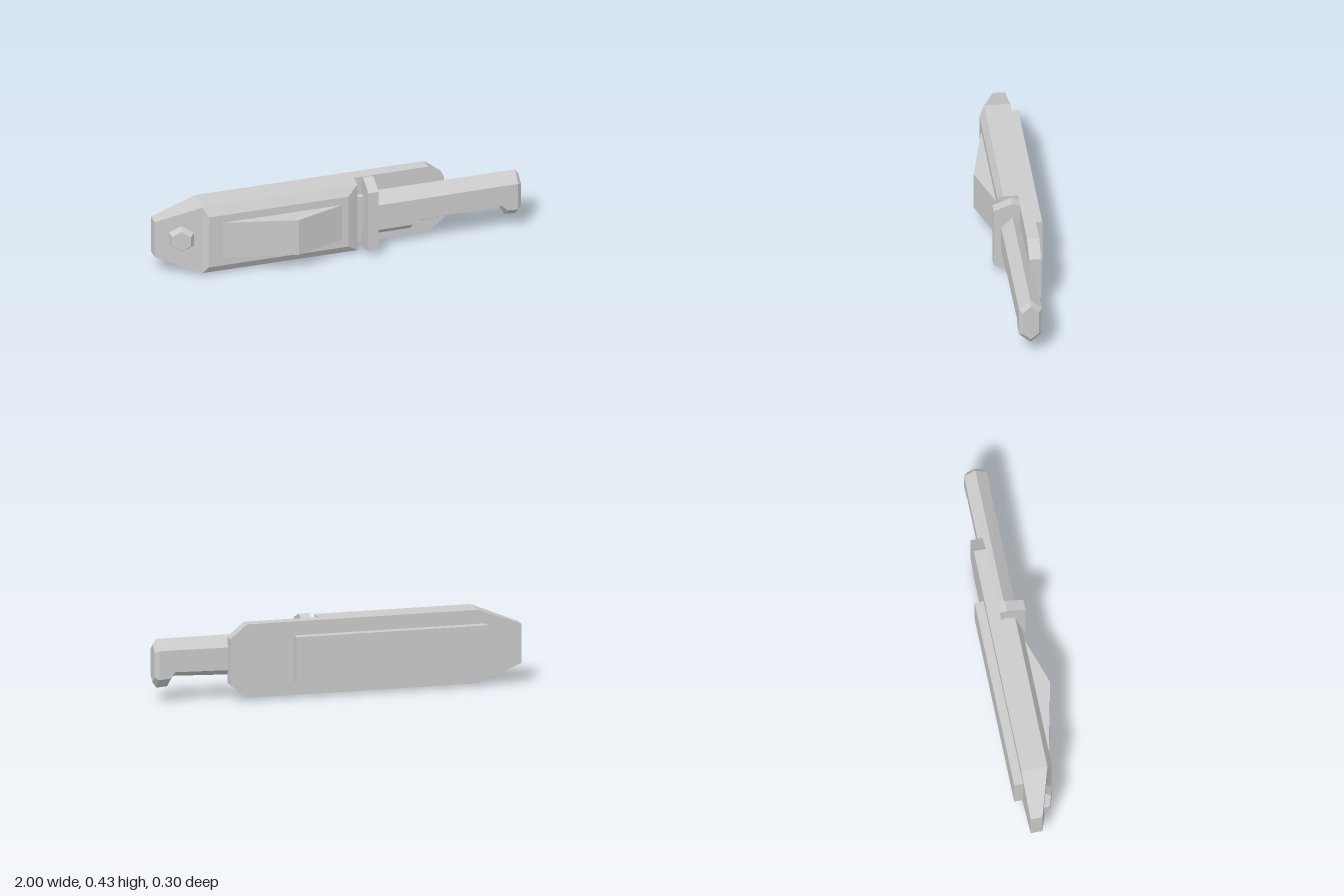
import * as THREE from 'three';

const material = new THREE.MeshStandardMaterial({ color: 0xcccccc, flatShading: true });

// Solid through convex rings, each counter-clockwise seen from the far end
function loft(rings) {
  const pos = [];
  const tri = (a, b, c) => pos.push(...a, ...b, ...c);
  const n = rings[0].length;
  for (let i = 0; i < rings.length - 1; i++) {
    for (let j = 0; j < n; j++) {
      const k = (j + 1) % n;
      const a = rings[i][j], b = rings[i][k], c = rings[i + 1][k], d = rings[i + 1][j];
      tri(a, b, c);
      tri(a, c, d);
    }
  }
  const first = rings[0], last = rings[rings.length - 1];
  for (let j = 1; j < n - 1; j++) {
    tri(first[0], first[j + 1], first[j]);
    tri(last[0], last[j], last[j + 1]);
  }
  const g = new THREE.BufferGeometry();
  g.setAttribute('position', new THREE.Float32BufferAttribute(pos, 3));
  g.computeVertexNormals();
  return g;
}

// Rectangular section at x
const rectX = (x, y0, y1, z0, z1) => [[x, y0, z0], [x, y1, z0], [x, y1, z1], [x, y0, z1]];
// Rectangular section at z
const rectZ = (z, x0, x1, y0, y1) => [[x0, y0, z], [x1, y0, z], [x1, y1, z], [x0, y1, z]];
// Pointed six-sided section at x
const hexX = (x, bottom, low, high, top, w) => [
  [x, bottom, 0], [x, low, -w], [x, high, -w], [x, top, 0], [x, high, w], [x, low, w],
];

export function createModel() {
  const group = new THREE.Group();
  const add = (name, geometry) => {
    const mesh = new THREE.Mesh(geometry, material);
    mesh.name = name;
    group.add(mesh);
    return mesh;
  };
  const box = (name, x0, x1, y0, y1, z0, z1) =>
    add(name, new THREE.BoxGeometry(x1 - x0, y1 - y0, z1 - z0))
      .position.set((x0 + x1) / 2, (y0 + y1) / 2, (z0 + z1) / 2);

  // Sheath with tapered tip, stepping down to the back plate behind the handle
  add('sheath', loft([
    rectX(-1, 0.11, 0.323, -0.104, -0.04),
    rectX(-0.758, 0.014, 0.414, -0.104, 0.036),
    rectX(0.1, 0.014, 0.414, -0.104, 0.036),
    rectX(0.1, 0.014, 0.414, -0.104, -0.039),
    rectX(0.51, 0.014, 0.414, -0.104, -0.039),
    rectX(0.6, 0.088, 0.34, -0.104, -0.039),
  ]));

  // Bevelled front panel
  add('frontPanel', loft([
    rectZ(0.036, -0.758, 0.1, 0.014, 0.414),
    rectZ(0.064, -0.73, 0.04, 0.06, 0.365),
  ]));

  // Raised wedge on the panel
  add('frontRidge', loft([0.108, 0.32].map((y) =>
    [[-0.69, y, 0.056], [-0.26, y, 0.152], [0.03, y, 0.056]])));

  // Strip along the back
  box('backStrip', -0.8, 0.25, 0.088, 0.338, -0.152, -0.1);

  // Six-sided rivet on the sloping tip
  const rivet = add('rivet', new THREE.CylinderGeometry(0.058, 0.083, 0.04, 6).rotateX(Math.PI / 2));
  rivet.position.set(-0.867, 0.222, 0.013);
  rivet.rotation.y = -0.3;

  // Blade root between the sheath and the guard
  box('bladeRoot', 0.06, 0.15, 0.115, 0.32, -0.02, 0.01);

  // Guard
  add('guard', loft([0.14, 0.197].map((x) => hexX(x, 0, 0.041, 0.389, 0.43, 0.101))));

  // Handle: x, bottom ridge, lower edge, upper edge, top ridge, half width
  add('handle', loft([
    [0.19, 0.08, 0.132, 0.282, 0.342, 0.061],
    [0.4, 0.08, 0.134, 0.283, 0.342, 0.061],
    [0.435, 0.118, 0.157, 0.283, 0.342, 0.061],
    [0.89, 0.135, 0.168, 0.287, 0.342, 0.061],
    [0.92, 0.08, 0.135, 0.287, 0.342, 0.061],
    [0.98, 0.076, 0.13, 0.287, 0.342, 0.061],
    [1, 0.105, 0.141, 0.275, 0.315, 0.043],
  ].map((s) => hexX(...s))));

  return group;
}
